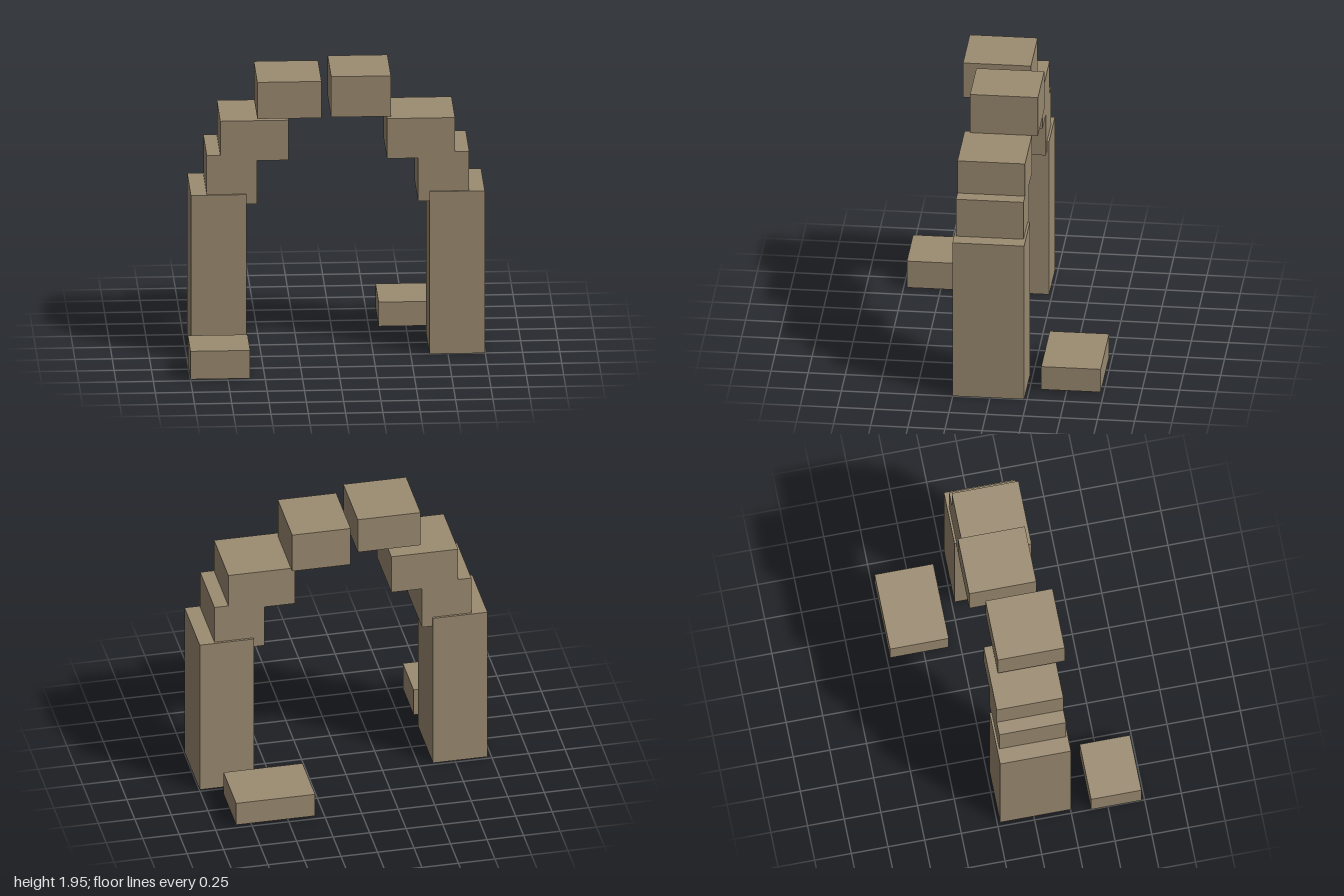
import * as THREE from 'three';

const stone = new THREE.MeshStandardMaterial({ color: 0x9c8c72, side: THREE.DoubleSide });
stone.name = 'weatheredStone';

// Hollow block, open underneath, given by its extents on each axis
function block(name, [x0, x1], [y0, y1], [z0, z1]) {
  const geometry = new THREE.BoxGeometry(x1 - x0, y1 - y0, z1 - z0);
  const index = Array.from(geometry.index.array);
  index.splice(18, 6); // drop the bottom face
  geometry.setIndex(index);
  geometry.clearGroups();
  const mesh = new THREE.Mesh(geometry, stone);
  mesh.name = name;
  mesh.position.set((x0 + x1) / 2, (y0 + y1) / 2, (z0 + z1) / 2);
  return mesh;
}

export function createModel() {
  const model = new THREE.Group();
  model.name = 'ruinedArch';

  const pillarZ = [-0.23, 0.253];
  const stepZ = [-0.215, 0.24];
  model.add(
    // Pillars
    block('rightPillar', [-0.973, -0.6], [0, 1.142], pillarZ),
    block('leftPillar', [0.626, 0.997], [0, 1.142], pillarZ),
    // Stepped stones leaning inwards
    block('rightLowerStone', [-0.866, -0.528], [1.072, 1.417], stepZ),
    block('leftLowerStone', [0.55, 0.893], [1.072, 1.417], stepZ),
    block('rightUpperStone', [-0.775, -0.318], [1.376, 1.657], stepZ),
    block('leftUpperStone', [0.342, 0.798], [1.376, 1.657], stepZ),
    // Shifted crown stones with a gap between
    block('rightCrownStone', [-0.53, -0.1], [1.688, 1.945], [-0.16, 0.297]),
    block('leftCrownStone', [-0.03, 0.37], [1.66, 1.945], [-0.257, 0.2]),
    // Fallen stones
    block('frontFallenStone', [-1, -0.6], [0.003, 0.2], [0.385, 0.728]),
    block('backFallenStone', [0.315, 0.856], [0.01, 0.18], [-0.73, -0.33]),
  );
  return model;
}
